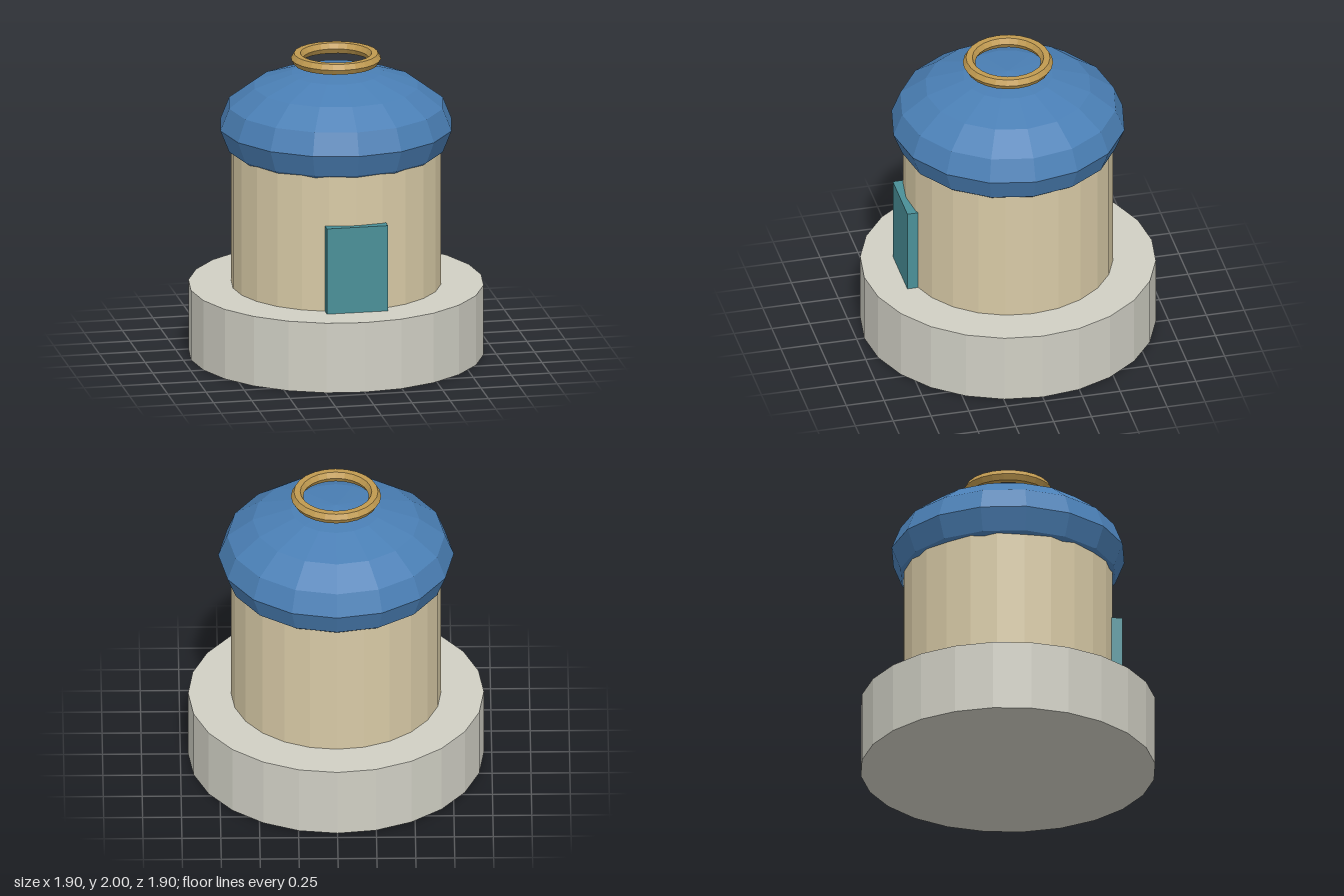
import * as THREE from 'three';

export function createModel() {
  const group = new THREE.Group();

  const add = (name, geometry, color, y, z = 0) => {
    const material = new THREE.MeshStandardMaterial({ color, flatShading: true });
    const mesh = new THREE.Mesh(geometry, material);
    mesh.name = name;
    mesh.position.set(0, y, z);
    group.add(mesh);
    return mesh;
  };

  // Round stone base
  add('base', new THREE.CylinderGeometry(0.95, 0.95, 0.465, 24), 0xd0cfc4, 0.2325);

  // Tower wall, running up into the dome
  add('tower', new THREE.CylinderGeometry(0.675, 0.675, 1.035, 24), 0xd8caa6, 0.9825);

  // Faceted, flattened dome
  const dome = add('dome', new THREE.SphereGeometry(0.757, 16, 8), 0x4a7fb5, 1.52);
  dome.scale.y = 0.5;

  // Ring floating above the dome, with a six-sided section
  const ring = new THREE.TorusGeometry(0.25, 0.04, 6, 24).rotateX(Math.PI / 2);
  add('ring', ring, 0xc09a50, 1.965);

  // Door slab on the front of the wall
  add('door', new THREE.BoxGeometry(0.4, 0.57, 0.08), 0x4a9098, 0.75, 0.673);

  return group;
}
